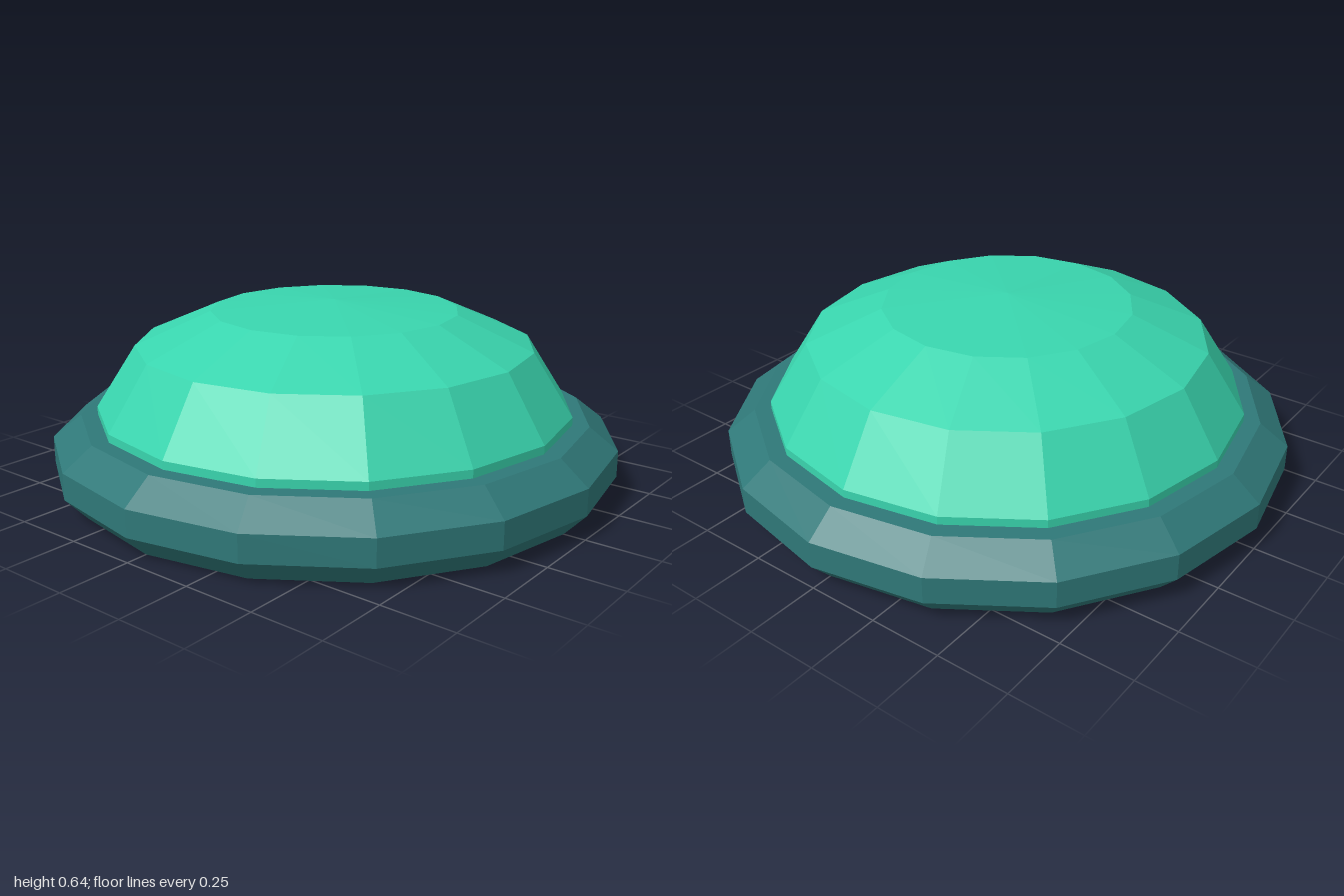
import * as THREE from 'three';

const SIDES = 16;

// Faceted solid turned from a bottom-to-top [radius, height] profile
function turned(name, profile, material) {
  const points = profile.map(([r, y]) => new THREE.Vector2(r, y));
  const mesh = new THREE.Mesh(new THREE.LatheGeometry(points, SIDES), material);
  mesh.name = name;
  return mesh;
}

export function createModel() {
  const teal = new THREE.MeshStandardMaterial({ color: 0x2f7878, flatShading: true });
  teal.name = 'dark teal';
  const mint = new THREE.MeshStandardMaterial({ color: 0x39d5ae, flatShading: true });
  mint.name = 'mint green';

  const model = new THREE.Group();
  model.name = 'domedButton';

  // Bevelled base disc
  model.add(turned('base', [
    [0, 0], [0.925, 0], [1, 0.08], [1, 0.172], [0.9, 0.25], [0, 0.25],
  ], teal));

  // Low dome with a short upright rim
  model.add(turned('dome', [
    [0.842, 0.25], [0.842, 0.278], [0.702, 0.495], [0.437, 0.61], [0, 0.642],
  ], mint));

  return model;
}
